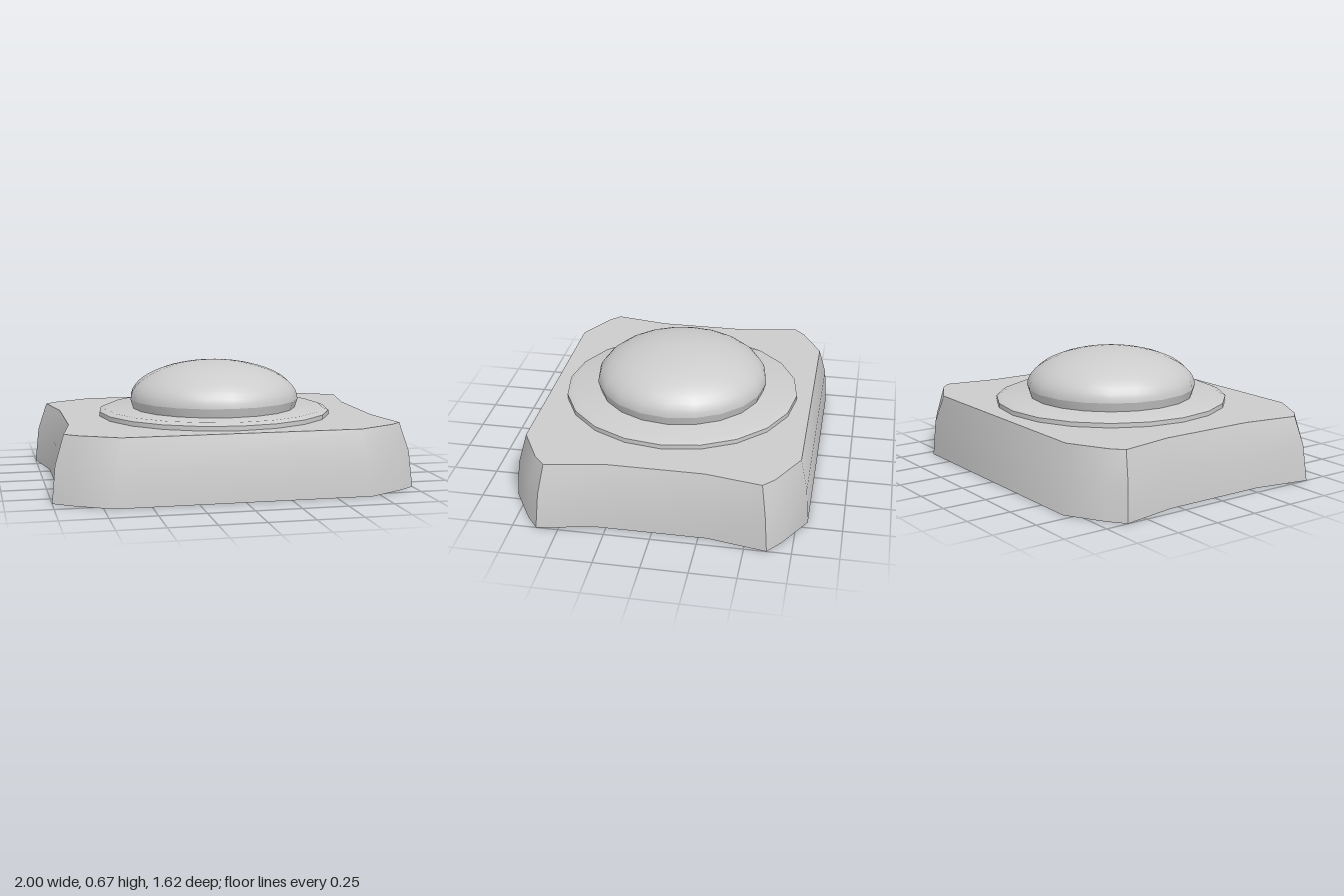
import * as THREE from 'three';
import { toCreasedNormals } from 'three/addons/utils/BufferGeometryUtils.js';

const material = new THREE.MeshStandardMaterial({ color: 0xcccccc, side: THREE.DoubleSide });

// Mirror one quarter of an outline [x, z] into a full loop
function fullOutline(quarter) {
  const back = [...quarter].reverse();
  return [
    ...quarter,
    ...back.map(([x, z]) => [x, -z]),
    ...quarter.map(([x, z]) => [-x, -z]),
    ...back.map(([x, z]) => [-x, z]),
  ];
}

// Housing cross-sections from the floor up
const sections = [
  { y: 0, outline: fullOutline([[0.7, 0.81], [0.91, 0.69], [1, 0.62], [0.94, 0.3]]) },
  { y: 0.2, outline: fullOutline([[0.69, 0.795], [0.895, 0.675], [0.98, 0.605], [0.925, 0.29]]) },
  { y: 0.36, outline: fullOutline([[0.65, 0.755], [0.865, 0.64], [0.93, 0.58], [0.875, 0.27]]) },
];

function wallGeometry() {
  const positions = [];
  for (let s = 0; s < sections.length - 1; s++) {
    const low = sections[s], high = sections[s + 1];
    const n = low.outline.length;
    for (let i = 0; i < n; i++) {
      const j = (i + 1) % n;
      const corner = (sec, k) => [sec.outline[k][0], sec.y, sec.outline[k][1]];
      const a = corner(low, i), b = corner(low, j), c = corner(high, j), d = corner(high, i);
      positions.push(...a, ...b, ...c, ...a, ...c, ...d);
    }
  }
  const geometry = new THREE.BufferGeometry();
  geometry.setAttribute('position', new THREE.Float32BufferAttribute(positions, 3));
  return toCreasedNormals(geometry, 0.6);
}

function topGeometry() {
  const { y, outline } = sections[sections.length - 1];
  const shape = new THREE.Shape(outline.map(([x, z]) => new THREE.Vector2(x, -z)));
  return new THREE.ShapeGeometry(shape).rotateX(-Math.PI / 2).translate(0, y, 0);
}

function turned(points, crease) {
  const profile = points.map(([r, y]) => new THREE.Vector2(r, y));
  return toCreasedNormals(new THREE.LatheGeometry(profile, 20), crease);
}

export function createModel() {
  const model = new THREE.Group();
  const add = (name, geometry) => {
    const mesh = new THREE.Mesh(geometry, material);
    mesh.name = name;
    model.add(mesh);
  };

  // Hollow housing, open underneath
  add('housingWalls', wallGeometry());
  add('housingTop', topGeometry());

  // Bevelled collar, set slightly into the housing top
  add('collar', turned([[0, 0.355], [0.67, 0.355], [0.67, 0.385], [0.635, 0.4], [0, 0.4]], 0.6));

  // Domed push button with a short tapered skirt
  const dome = [[0.475, 0.4]];
  const steps = 14;
  for (let i = 0; i <= steps; i++) {
    const t = (i / steps) * Math.PI / 2;
    dome.push([i === steps ? 0 : 0.49 * Math.cos(t), 0.45 + 0.22 * Math.sin(t)]);
  }
  add('button', turned(dome, 0.4));

  return model;
}
